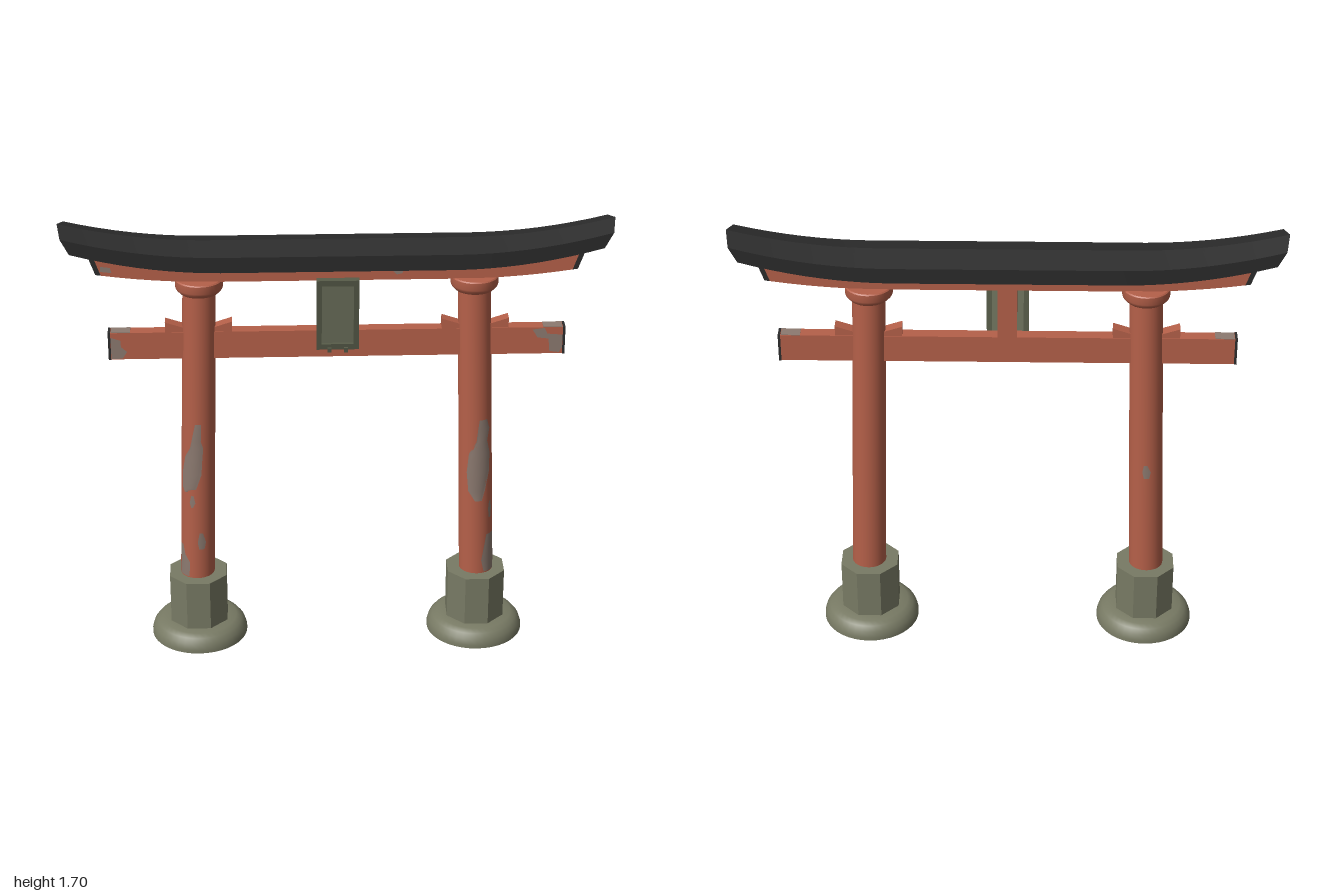
import * as THREE from 'three';
import { toCreasedNormals } from 'three/addons/utils/BufferGeometryUtils.js';

const mat = (name, color, side = THREE.FrontSide) =>
  Object.assign(new THREE.MeshStandardMaterial({ color, side }), { name });

export function createModel() {
  const red = mat('vermilion paint', 0xb56049);
  const black = mat('black lacquer', 0x2c2c2c);
  const stone = mat('stone', 0x787a64);
  const worn = mat('worn wood', 0x8c7a70, THREE.DoubleSide);
  const frameMat = mat('tablet frame', 0x575b48);
  const panelMat = mat('tablet panel', 0x6e725d);

  const model = new THREE.Group();
  model.name = 'gate';
  const add = (name, geo, material, parent = model) => {
    const mesh = new THREE.Mesh(geo, material);
    mesh.name = name;
    parent.add(mesh);
    return mesh;
  };
  const box = (name, w, h, d, x, y, z, material, parent) =>
    add(name, new THREE.BoxGeometry(w, h, d).translate(x, y, z), material, parent);
  const lathe = (pts, n) =>
    toCreasedNormals(new THREE.LatheGeometry(pts.map(p => new THREE.Vector2(...p)), n), 0.6);

  // Skin cross-sections along x; each ring runs from the top over +z and back
  function loft(xs, ring) {
    const rings = xs.map(ring), pos = [];
    const tri = (...pts) => pts.forEach(p => pos.push(...p));
    const n = rings[0].length, last = rings[rings.length - 1];
    for (let s = 0; s < rings.length - 1; s++) {
      const a = rings[s], b = rings[s + 1];
      for (let i = 0; i < n; i++) {
        const j = (i + 1) % n;
        tri(a[i], a[j], b[j]);
        tri(a[i], b[j], b[i]);
      }
    }
    for (let i = 1; i < n - 1; i++) {
      tri(last[0], last[i], last[i + 1]);
      tri(rings[0][0], rings[0][i + 1], rings[0][i]);
    }
    const g = new THREE.BufferGeometry();
    g.setAttribute('position', new THREE.Float32BufferAttribute(pos, 3));
    return toCreasedNormals(g, 0.3);
  }
  const span = (a, b, n) => Array.from({ length: n + 1 }, (_, i) => a + (b - a) * i / n);
  const bend = x => Math.max(0, (Math.abs(x) - 0.45) / 0.55);
  const rise = x => 0.07 * bend(x) ** 2;

  // Curved black top beam with a ridge and slanted ends
  add('topBeam', loft(span(-1, 1, 32), x => {
    const r = rise(x), w = 0.105 - 0.018 * bend(x);
    return [
      [x, 1.63 + r, 0],
      [x * 0.985, 1.605 + r, w], [x * 0.955, 1.545 + r, w - 0.003],
      [x * 0.955, 1.545 + r, 3e-3 - w], [x * 0.985, 1.605 + r, -w],
    ];
  }), black);

  // Red beam beneath it, with black ends
  const underRing = x => {
    const t = 1.56 + rise(x), b = 1.485 + rise(x) * 0.7;
    return [[x, t, -0.04], [x, t, 0.04], [x * 0.965, b, 0.04], [x * 0.965, b, -0.04]];
  };
  add('underBeam', loft(span(-0.88, 0.88, 28), underRing), red);
  for (const s of [-1, 1])
    add('underBeamEnd', loft([s * 0.88, s * 0.9].sort((a, b) => a - b), underRing), black);

  // Straight tie beam, black end plates and centre strut
  box('tieBeam', 1.656, 0.105, 0.048, 0, 1.2275, 0, red);
  box('centreStrut', 0.07, 0.22, 0.048, 0, 1.385, 0, red);
  for (const s of [-1, 1]) box('tieBeamEnd', 0.009, 0.108, 0.051, s * 0.8315, 1.2275, 0, black);

  // Wedges locking the tie beam into the pillars
  const wedge = new THREE.Shape([[0.03, 0], [0.122, 0], [0.122, 0.04], [0.03, 0.01]]
    .map(p => new THREE.Vector2(...p)));
  for (const x of [-0.505, 0.505]) for (const turn of [0, Math.PI]) {
    const g = new THREE.ExtrudeGeometry(wedge, { depth: 0.044, bevelEnabled: false });
    g.translate(0, 0, -0.022).rotateY(turn).translate(x, 1.279, 0);
    add('wedge', g, red);
  }

  // Shift a part sideways by height so that it follows the leaning pillar
  const radius = y => 0.0655 - 0.0035 * y;
  const lean = (geo, s) => {
    const p = geo.attributes.position;
    for (let i = 0; i < p.count; i++) p.setX(i, p.getX(i) + s * (0.543 - 0.03 * p.getY(i)));
    return geo;
  };
  // Worn patch hugging a pillar; rows are [height, start angle, end angle]
  function patch(rows, s) {
    const cols = 8, pos = [], index = [];
    rows.forEach(([y, a0, a1], r) => {
      for (const a of span(a0, a1, cols)) {
        const d = radius(y) + 0.0015;
        pos.push(d * Math.sin(a), y, d * Math.cos(a));
      }
      if (r) for (let c = 0; c < cols; c++) {
        const k = r * (cols + 1) + c, l = k - cols - 1;
        index.push(l, l + 1, k + 1, l, k + 1, k);
      }
    });
    const g = new THREE.BufferGeometry();
    g.setAttribute('position', new THREE.Float32BufferAttribute(pos, 3));
    g.setIndex(index);
    g.computeVertexNormals();
    return lean(g, s);
  }
  const patches = {
    '-1': [
      [[0.63, -0.9, -0.75], [0.65, -1.1, -0.1], [0.71, -1.1, 0.2], [0.78, -0.85, 0.25],
        [0.82, -0.5, 0.3], [0.85, -0.4, 0.15], [0.92, -0.2, 0.15]],
      [[0.57, -0.4, -0.3], [0.59, -0.5, -0.15], [0.62, -0.4, -0.25]],
      [[0.27, -1.3, -0.5], [0.33, -1.2, -0.45], [0.36, -1.3, -0.8], [0.4, -1.3, -1]],
      [[0.39, 0.1, 0.4], [0.42, 0, 0.5], [0.46, 0.1, 0.3]],
      [[0.69, 3.0, 3.3], [0.72, 2.9, 3.4], [0.75, 3.0, 3.2]],
    ],
    '1': [
      [[0.58, -0.1, 0.3], [0.62, -0.5, 0.5], [0.7, -0.6, 0.85], [0.78, -0.45, 0.9],
        [0.83, 0, 0.7], [0.88, 0.1, 0.9], [0.92, 0.2, 0.7]],
      [[0.5, 0.8, 1.0], [0.54, 0.75, 1.05], [0.57, 0.85, 1.0]],
      [[0.27, 0.4, 1.2], [0.32, 0.25, 1.35], [0.37, 0.4, 1.25], [0.43, 0.6, 1.2]],
    ],
  };

  // Pillars with collars and stone footings
  for (const s of [-1, 1]) {
    const leg = new THREE.Group();
    leg.name = s > 0 ? 'leftPillar' : 'rightPillar';
    model.add(leg);
    add('foot', lathe([[0, 0], [0.183, 0], [0.183, 0.014], [0.176, 0.036], [0.162, 0.054],
      [0.142, 0.065], [0.1, 0.067], [0, 0.067]], 40).translate(s * 0.533, 0, 0), stone, leg);
    const block = new THREE.CylinderGeometry(0.117, 0.117, 0.2, 8).toNonIndexed();
    block.rotateY(Math.PI / 8).translate(s * 0.533, 0.165, 0).computeVertexNormals();
    add('footBlock', block, stone, leg);
    const shaft = new THREE.CylinderGeometry(radius(1.46), radius(0.26), 1.2, 32);
    add('shaft', lean(shaft.translate(0, 0.86, 0), s), red, leg);
    add('collar', lathe([[0.058, 1.432], [0.072, 1.434], [0.084, 1.447], [0.087, 1.455],
      [0.087, 1.483], [0.083, 1.487], [0, 1.487]], 32).translate(s * 0.499, 0, 0), red, leg);
    patches[s].forEach(rows => add('wornPatch', patch(rows, s), worn, leg));
  }

  // Worn flakes on the beam faces
  const flake = (pts, z) => add('wornFlake', new THREE.ShapeGeometry(
    new THREE.Shape(pts.map(p => new THREE.Vector2(...p)))).translate(0, 0, z), worn);
  flake([[-0.826, 1.178], [-0.785, 1.178], [-0.768, 1.205], [-0.79, 1.225], [-0.79, 1.25],
    [-0.826, 1.262]], 0.0255);
  flake([[0.715, 1.272], [0.735, 1.24], [0.775, 1.235], [0.78, 1.185], [0.815, 1.18],
    [0.826, 1.2], [0.826, 1.25], [0.77, 1.255], [0.76, 1.278]], 0.0255);
  flake([[-0.85, 1.53], [-0.81, 1.525], [-0.815, 1.545], [-0.85, 1.55]], 0.0415);
  flake([[0.2, 1.52], [0.215, 1.505], [0.235, 1.51], [0.24, 1.53], [0.215, 1.535]], 0.0415);
  for (const s of [-1, 1]) box('wornTop', 0.07, 0.003, 0.046, s * 0.79, 1.2805, 0, worn);

  // Framed tablet tilted forward, on two small hooks
  const tablet = new THREE.Group();
  tablet.name = 'tablet';
  tablet.position.set(0, 1.37, 0.079);
  tablet.rotation.x = 0.13;
  model.add(tablet);
  const rect = (C, w, h) => new C([[-w, -h], [w, -h], [w, h], [-w, h]]
    .map(p => new THREE.Vector2(...p)));
  const frame = rect(THREE.Shape, 0.077, 0.145);
  frame.holes.push(rect(THREE.Path, 0.058, 0.122));
  add('tabletFrame', new THREE.ExtrudeGeometry(frame, { depth: 0.022, bevelEnabled: false })
    .translate(0, 0, -0.01), frameMat, tablet);
  box('tabletPanel', 0.118, 0.246, 0.012, 0, 0, -0.004, panelMat, tablet);
  for (const s of [-1, 1]) {
    box('hook', 0.014, 0.008, 0.03, s * 0.03, -0.142, 0.016, frameMat, tablet);
    box('hookTip', 0.014, 0.018, 0.006, s * 0.03, -0.135, 0.03, frameMat, tablet);
  }
  return model;
}
